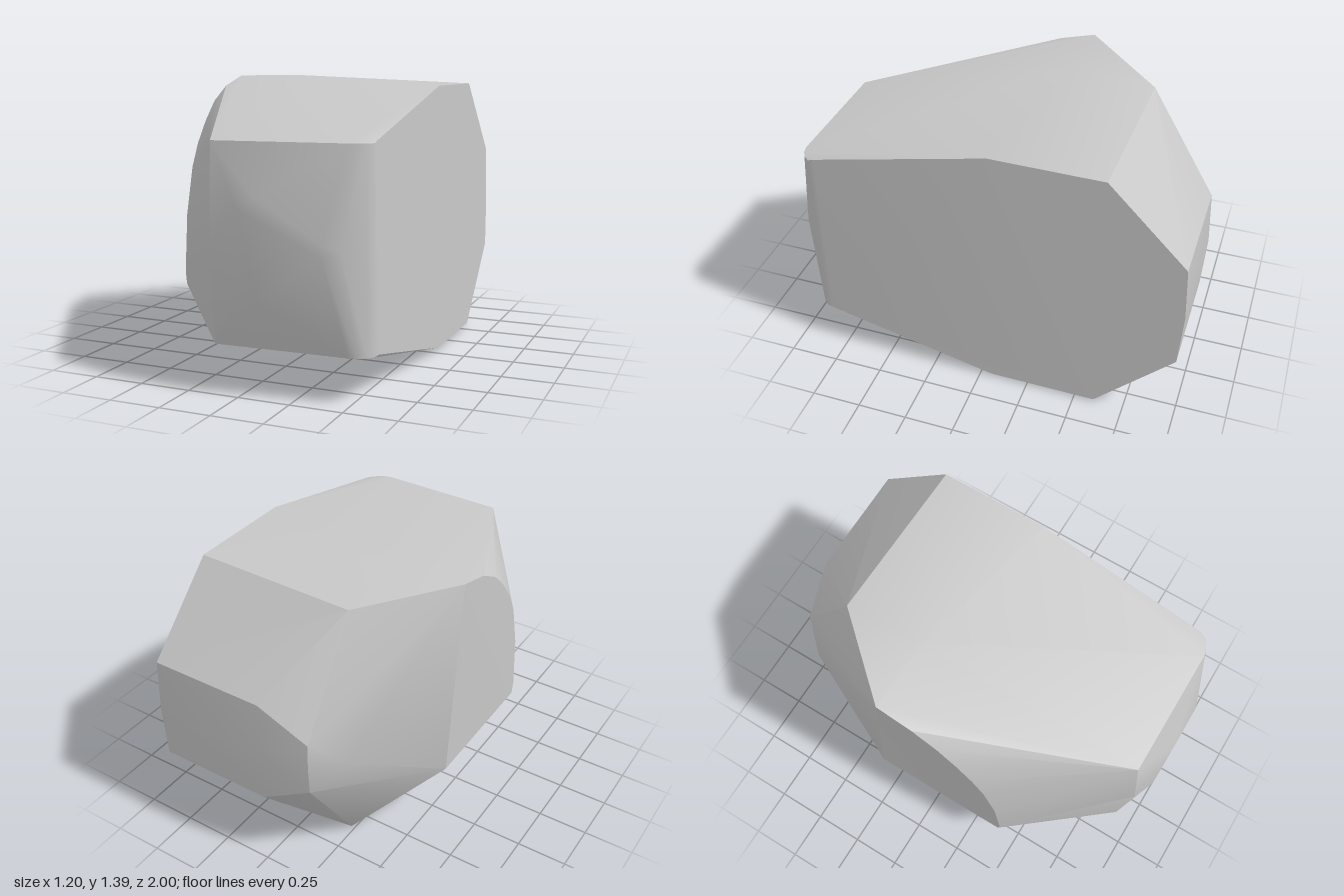
import * as THREE from 'three';
import { ConvexGeometry } from 'three/addons/geometries/ConvexGeometry.js';
import { toCreasedNormals } from 'three/addons/utils/BufferGeometryUtils.js';

export function createModel() {
  const group = new THREE.Group();
  group.name = 'facetedBlock';
  const stone = new THREE.MeshStandardMaterial({ color: 0xc8c8c8 });
  stone.name = 'light grey';

  const points = [];
  const add = (...list) => list.forEach((p) => points.push(new THREE.Vector3(...p)));

  // Flat sawn side: outline as [z, y], leaning in slightly towards the top
  for (const [z, y] of [
    [0.82, 0.22], [-0.06, 0.015], [-0.6, 0.012], [-0.985, 0.4], [-1, 0.68],
    [-0.985, 0.955], [-0.6, 1.345], [-0.05, 1.348], [0.82, 1.15],
  ]) add([0.6 - 0.013 * y, y, z]);

  // Rounded upright corner between the sawn side and the front
  for (const [x, z] of [[0.588, 0.85], [0.565, 0.88], [0.53, 0.9], [0.49, 0.91]]) {
    add([x, 0.215, z], [x - 0.006, 1.138, z]);
  }

  // Front: outer left corners and the shallow facets between them
  add([-0.16, 0.207, 0.91], [-0.17, 1.13, 0.91], [-0.155, 0.65, 0.955]);
  add([0, 0.85, 1], [0.09, 0.9, 1], [0.4, 0.72, 1], [0.4, 0.66, 1], [0.1, 0.44, 1], [0, 0.49, 1]);
  add([0.475, 0.68, 0.965]);

  // Arched flat on the other side: [y, z] from the rear foot over to the front foot
  for (const [y, z] of [
    [0.345, -0.3], [1.385, -0.22], [1.335, -0.04], [1.26, 0.09], [1.16, 0.19],
    [1.05, 0.275], [0.935, 0.335], [0.7, 0.4], [0.41, 0.43], [0.345, 0.42],
  ]) add([-0.592 - 0.008 * y, y, z]);

  // Top ridge and underside
  add([-0.24, 1.39, -0.21], [-0.25, 1.345, -0.62]);
  add([-0.23, 0.003, -0.06], [-0.23, 0.003, -0.6]);

  // Back face and its rounded corner
  add([0, 0.955, -0.985], [0, 0.68, -1], [0, 0.4, -0.985]);
  add([-0.24, 0.8, -0.945], [-0.24, 0.67, -0.95], [-0.24, 0.52, -0.945], [-0.36, 0.67, -0.83]);

  const block = new THREE.Mesh(toCreasedNormals(new ConvexGeometry(points), 0.5), stone);
  block.name = 'block';
  group.add(block);
  return group;
}
